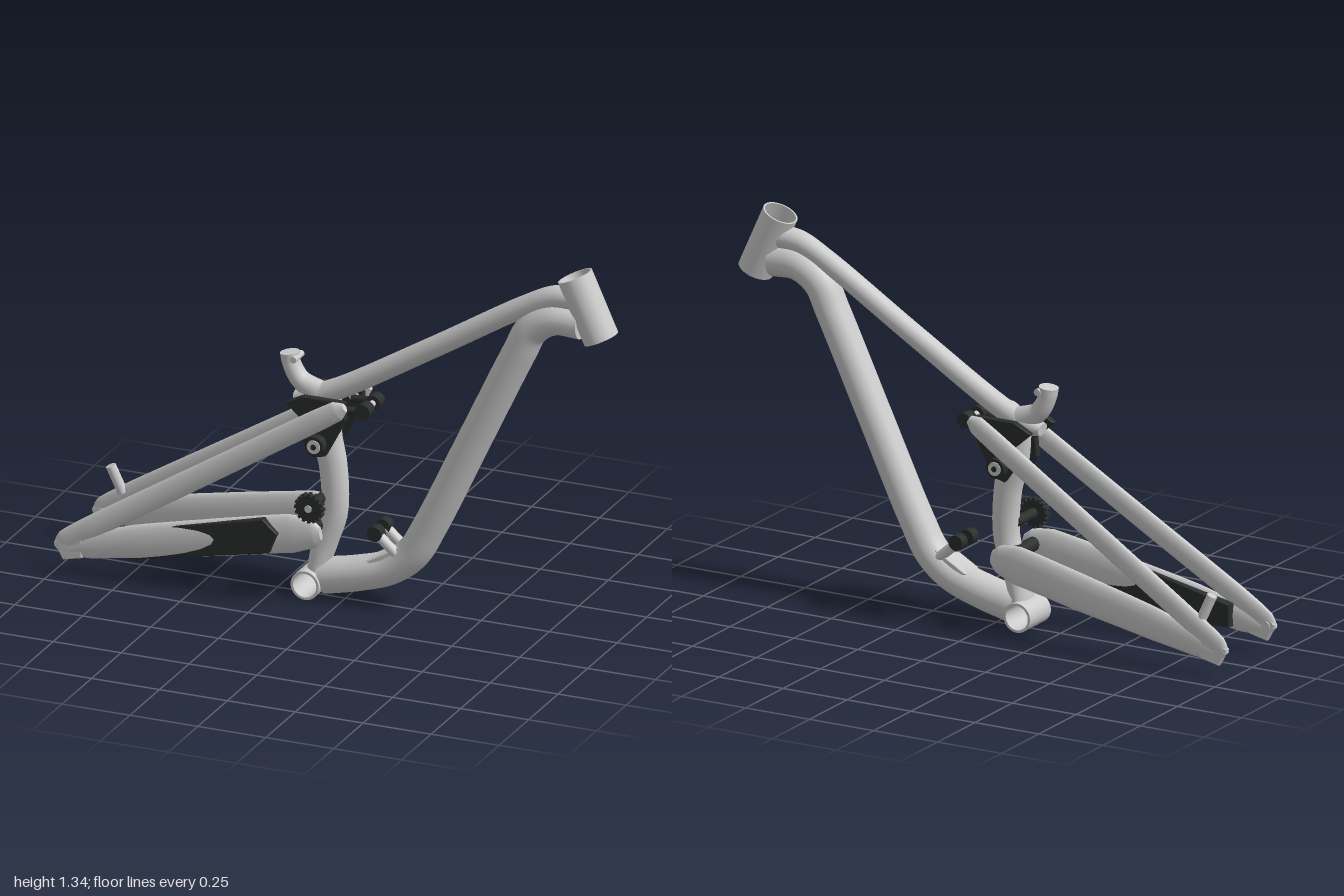
import * as THREE from 'three';

const grey = new THREE.MeshStandardMaterial({ color: 0xcccccc });
const dark = new THREE.MeshStandardMaterial({ color: 0x2a2e2d });

// Elliptical tube along stations [x, y, z, half height, half width], with flat caps
function loft(name, stations, steps = 8, sides = 24) {
  const curve = new THREE.CatmullRomCurve3(stations.map(s => new THREE.Vector3(s[0], s[1], s[2])));
  const segs = stations.length - 1, n = segs * steps;
  const pos = [], idx = [];
  const ring = i => {
    const t = i / n, p = curve.getPoint(t), d = curve.getTangent(t);
    const k = Math.min(Math.floor(i / steps), segs - 1), f = i / steps - k;
    const a = THREE.MathUtils.lerp(stations[k][3], stations[k + 1][3], f);
    const b = THREE.MathUtils.lerp(stations[k][4], stations[k + 1][4], f);
    const len = Math.hypot(d.x, d.y);
    for (let j = 0; j < sides; j++) {
      const w = j / sides * Math.PI * 2, c = a * Math.cos(w) / len;
      pos.push(p.x - d.y * c, p.y + d.x * c, p.z + b * Math.sin(w));
    }
    return p;
  };
  for (let i = 0; i <= n; i++) ring(i);
  for (let i = 0; i < n; i++) for (let j = 0; j < sides; j++) {
    const A = i * sides + j, B = i * sides + (j + 1) % sides;
    idx.push(A, B, A + sides, B, B + sides, A + sides);
  }
  for (const end of [0, n]) {
    const base = pos.length / 3, p = ring(end), centre = base + sides;
    pos.push(p.x, p.y, p.z);
    for (let j = 0; j < sides; j++) {
      const A = base + j, B = base + (j + 1) % sides;
      if (end) idx.push(centre, A, B); else idx.push(centre, B, A);
    }
  }
  const g = new THREE.BufferGeometry();
  g.setAttribute('position', new THREE.Float32BufferAttribute(pos, 3));
  g.setIndex(idx);
  g.computeVertexNormals();
  const m = new THREE.Mesh(g, grey);
  m.name = name;
  return m;
}

// Hollow open sleeve along y
function sleeve(name, outer, inner, length) {
  const h = length / 2;
  const prof = [[inner, -h], [outer, -h], [outer, -h], [outer, h], [outer, h], [inner, h], [inner, h], [inner, -h]];
  const m = new THREE.Mesh(new THREE.LatheGeometry(prof.map(p => new THREE.Vector2(...p)), 40), grey);
  m.name = name;
  return m;
}

// Cylinder between two points
function rod(name, from, to, r, mat = grey, sides = 24) {
  const a = new THREE.Vector3(...from), b = new THREE.Vector3(...to), d = b.clone().sub(a);
  const m = new THREE.Mesh(new THREE.CylinderGeometry(r, r, d.length(), sides), mat);
  m.position.copy(a).add(b).multiplyScalar(0.5);
  m.quaternion.setFromUnitVectors(new THREE.Vector3(0, 1, 0), d.normalize());
  m.name = name;
  return m;
}
const pin = (name, x, y, z0, z1, r, mat) => rod(name, [x, y, z0], [x, y, z1], r, mat);

// Flat plate from an outline in the xy plane
function plate(name, pts, z0, z1, mat, bevel = 0.004) {
  const shape = new THREE.Shape(pts.map(p => new THREE.Vector2(...p)));
  const g = new THREE.ExtrudeGeometry(shape, {
    depth: z1 - z0 - 2 * bevel, bevelSize: bevel, bevelThickness: bevel, bevelSegments: 1
  });
  g.translate(0, 0, z0 + bevel);
  const m = new THREE.Mesh(g, mat);
  m.name = name;
  return m;
}

export function createModel() {
  const model = new THREE.Group();
  model.name = 'bicycleFrame';

  // Head tube and bottom bracket shell
  const head = sleeve('headTube', 0.062, 0.056, 0.235);
  head.position.set(0.893, 1.21, 0);
  head.rotation.z = 0.425;
  const shell = sleeve('bottomBracketShell', 0.052, 0.043, 0.14);
  shell.position.set(-0.12, 0.056, 0);
  shell.rotation.x = Math.PI / 2;
  model.add(head, shell);

  // Main tubes
  model.add(
    loft('topTube', [
      [-0.18, 0.715, 0, 0.022, 0.03], [-0.12, 0.725, 0, 0.04, 0.037], [-0.02, 0.768, 0, 0.038, 0.037],
      [0.33, 0.975, 0, 0.037, 0.037], [0.68, 1.187, 0, 0.037, 0.037],
      [0.77, 1.227, 0, 0.04, 0.04], [0.85, 1.235, 0, 0.042, 0.045]]),
    loft('downTube', [
      [-0.08, 0.075, 0, 0.064, 0.06], [0.05, 0.105, 0, 0.062, 0.062], [0.17, 0.147, 0, 0.06, 0.062],
      [0.25, 0.212, 0, 0.06, 0.062], [0.31, 0.315, 0, 0.059, 0.062], [0.48, 0.67, 0, 0.058, 0.062],
      [0.64, 1.005, 0, 0.058, 0.062], [0.69, 1.1, 0, 0.058, 0.062], [0.77, 1.15, 0, 0.058, 0.062],
      [0.87, 1.15, 0, 0.058, 0.058]]),
    loft('seatTube', [
      [-0.1, 0.1, 0, 0.035, 0.05], [-0.075, 0.2, 0, 0.045, 0.045], [-0.04, 0.32, 0, 0.047, 0.042],
      [-0.045, 0.48, 0, 0.05, 0.042], [-0.07, 0.6, 0, 0.055, 0.042], [-0.075, 0.72, 0, 0.06, 0.037]]),
    loft('seatMast', [
      [-0.205, 0.87, 0, 0.034, 0.034], [-0.2, 0.835, 0, 0.031, 0.033],
      [-0.165, 0.775, 0, 0.034, 0.034], [-0.08, 0.73, 0, 0.048, 0.036]]),
    pin('seatClampBolt', -0.178, 0.855, -0.035, 0.035, 0.012)
  );

  // Rear triangle and linkage, mirrored on both sides
  for (const s of [1, -1]) {
    const side = new THREE.Group();
    side.name = s > 0 ? 'frontSideLinkage' : 'backSideLinkage';
    side.add(
      loft('seatStay', [
        [-0.99, 0.09, s * 0.162, 0.018, 0.01], [-0.96, 0.12, s * 0.161, 0.036, 0.014],
        [-0.86, 0.185, s * 0.157, 0.04, 0.018], [-0.5, 0.408, s * 0.136, 0.04, 0.018],
        [-0.06, 0.682, s * 0.113, 0.038, 0.018], [0.015, 0.728, s * 0.108, 0.035, 0.018],
        [0.043, 0.745, s * 0.107, 0.016, 0.012]]),
      loft('chainStay', [
        [-0.97, 0.085, s * 0.162, 0.02, 0.01], [-0.88, 0.11, s * 0.157, 0.045, 0.016],
        [-0.7, 0.152, s * 0.147, 0.06, 0.021], [-0.4, 0.21, s * 0.129, 0.068, 0.023],
        [-0.15, 0.258, s * 0.113, 0.07, 0.022], [-0.07, 0.268, s * 0.108, 0.05, 0.018],
        [-0.045, 0.272, s * 0.107, 0.025, 0.012]]),
      plate('dropout', [[-0.995, 0.11], [-0.965, 0.055], [-0.9, 0.07], [-0.9, 0.13], [-0.95, 0.15]],
        s * 0.161 - 0.011, s * 0.161 + 0.011, grey),
      pin('dropoutBolt', -0.965, 0.105, s * 0.145, s * 0.174, 0.016, grey),
      plate('rockerLink', [
        [-0.18, 0.72], [-0.12, 0.75], [0.03, 0.75], [0.035, 0.69], [-0.04, 0.55], [-0.08, 0.54],
        [-0.115, 0.59], [-0.11, 0.66]], s * 0.078 - 0.012, s * 0.078 + 0.012, dark),
      pin('rockerPivotCap', -0.064, 0.59, s * 0.09, s * 0.122, 0.035, dark),
      pin('rockerPivotBolt', -0.064, 0.59, s * 0.1, s * 0.126, 0.024, grey),
      pin('rockerPivotSocket', -0.064, 0.59, s * 0.11, s * 0.128, 0.01, dark),
      pin('seatStayPin', 0.005, 0.715, s * 0.06, s * 0.125, 0.018, grey),
      // Shock mounts
      rod('lowerShockPost', [0.21, 0.205, s * 0.035], [0.135, 0.27, s * 0.035], 0.018),
      pin('lowerShockKnob', 0.128, 0.277, s * 0.018, s * 0.056, 0.027, dark),
      rod('upperShockArm', [0.0, 0.71, s * 0.06], [0.09, 0.72, s * 0.045], 0.014, dark),
      pin('upperShockKnob', 0.09, 0.72, s * 0.022, s * 0.066, 0.027, dark)
    );
    model.add(side);
  }

  // Pivot axles through the seat tube
  model.add(
    pin('rockerAxle', -0.064, 0.59, -0.1, 0.1, 0.026, dark),
    pin('chainStayAxle', -0.09, 0.27, -0.115, 0.115, 0.025, dark),
    pin('upperShockAxle', 0.09, 0.72, -0.03, 0.03, 0.012, grey),
    plate('shockMountBase', [[0.1, 0.17], [0.24, 0.25], [0.26, 0.2], [0.15, 0.13]], -0.045, 0.045, grey)
  );

  // Chain guide roller with teeth
  const roller = new THREE.Group();
  roller.name = 'chainRoller';
  roller.add(pin('rollerAxle', -0.075, 0.37, 0, 0.118, 0.018, dark),
    pin('rollerDisc', -0.075, 0.37, 0.117, 0.143, 0.046, dark),
    pin('rollerBolt', -0.075, 0.37, 0.13, 0.147, 0.013, grey));
  for (let i = 0; i < 16; i++) {
    const w = i / 16 * Math.PI * 2;
    const tooth = new THREE.Mesh(new THREE.BoxGeometry(0.014, 0.01, 0.024), dark);
    tooth.name = 'rollerTooth';
    tooth.position.set(-0.075 + 0.046 * Math.cos(w), 0.37 + 0.046 * Math.sin(w), 0.13);
    tooth.rotation.z = w;
    roller.add(tooth);
  }
  model.add(roller);

  // Chain stay guard on one side, brake peg on the other
  model.add(
    plate('chainStayGuard', [
      [-0.84, 0.165], [-0.24, 0.305], [-0.19, 0.262], [-0.22, 0.19], [-0.71, 0.09], [-0.84, 0.09]],
      0.112, 0.153, dark, 0.003),
    rod('brakePeg', [-0.885, 0.19, -0.15], [-0.925, 0.285, -0.14], 0.018)
  );
  return model;
}
